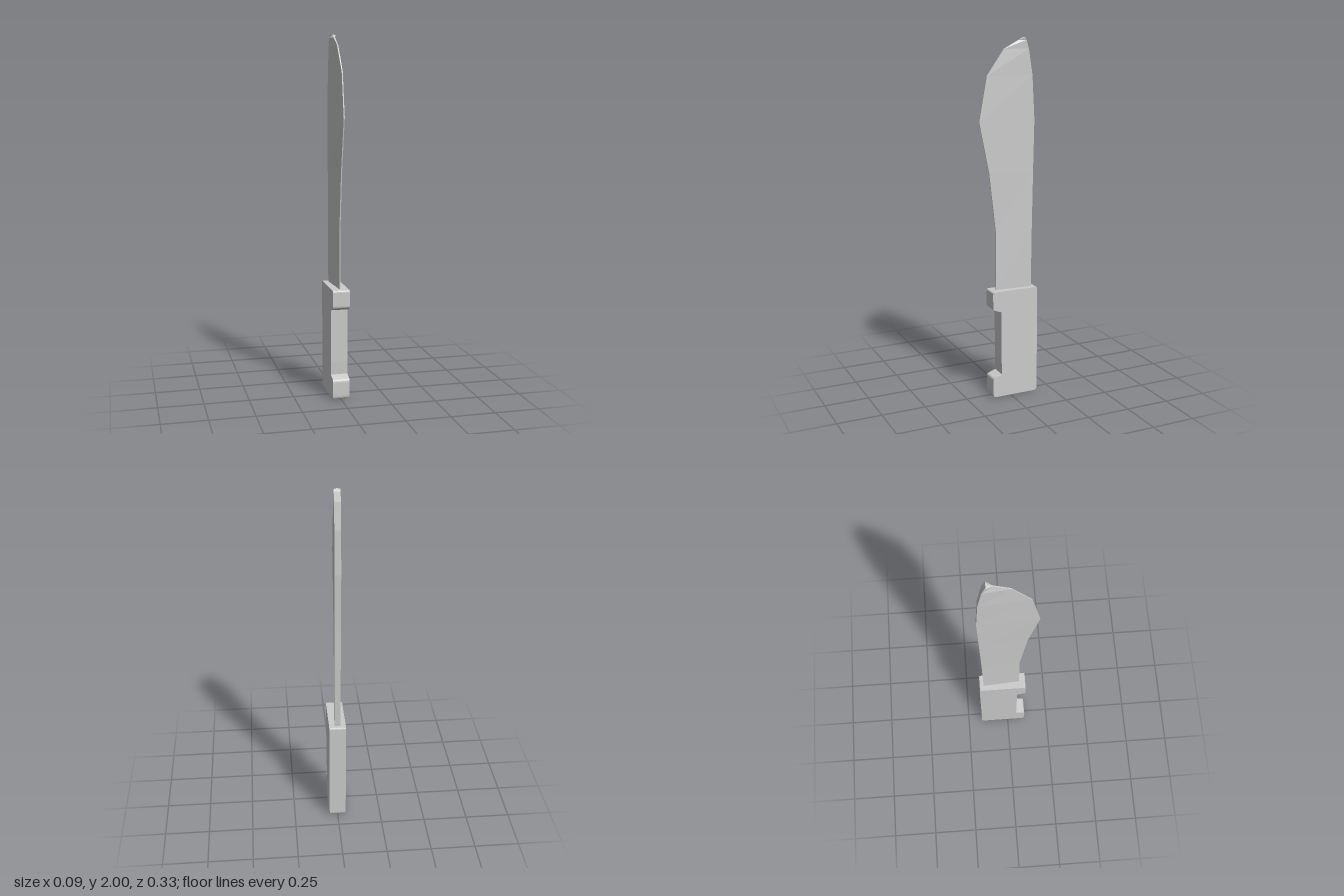
import * as THREE from 'three';

const material = new THREE.MeshStandardMaterial({ color: 0xcccccc, flatShading: true });

// Blade: a stack of wedge sections, thick at the spine and thin at the cutting edge
function bladeGeometry() {
  const spineHalf = 0.017, edgeHalf = 0.003;
  // [height, spine z, edge z]
  const sections = [
    [0.6, -0.139, 0.07], [0.95, -0.143, 0.07], [1.28, -0.149, 0.108], [1.56, -0.155, 0.165],
    [1.8, -0.142, 0.12], [1.94, -0.12, 0.02], [1.985, -0.106, -0.065], [2.0, -0.099, -0.092],
  ];
  const positions = [];
  const index = [];
  sections.forEach(([y, spine, edge], level) => {
    positions.push(-spineHalf, y, spine, -edgeHalf, y, edge, edgeHalf, y, edge, spineHalf, y, spine);
    if (level === 0) return;
    const lower = (level - 1) * 4, upper = level * 4;
    for (let i = 0; i < 4; i++) {
      const j = (i + 1) % 4;
      index.push(lower + i, lower + j, upper + j, lower + i, upper + j, upper + i);
    }
  });
  // End caps
  const top = (sections.length - 1) * 4;
  index.push(0, 2, 1, 0, 3, 2, top, top + 1, top + 2, top, top + 2, top + 3);

  const geometry = new THREE.BufferGeometry();
  geometry.setAttribute('position', new THREE.Float32BufferAttribute(positions, 3));
  geometry.setIndex(index);
  const flat = geometry.toNonIndexed();
  flat.computeVertexNormals();
  return flat;
}

// Handle: side outline (z, y) with finger notch, extruded across the width
function handleGeometry() {
  const width = 0.094;
  const s = new THREE.Shape();
  s.moveTo(-0.15, 0);
  s.lineTo(0.092, 0);
  s.quadraticCurveTo(0.107, 0.003, 0.107, 0.025);
  s.lineTo(0.107, 0.095);
  s.quadraticCurveTo(0.107, 0.111, 0.098, 0.115);
  s.lineTo(0.053, 0.13);
  s.lineTo(0.056, 0.2);
  s.lineTo(0.056, 0.5);
  s.lineTo(0.095, 0.514);
  s.quadraticCurveTo(0.107, 0.52, 0.107, 0.533);
  s.lineTo(0.107, 0.607);
  s.quadraticCurveTo(0.107, 0.62, 0.095, 0.62);
  s.lineTo(-0.157, 0.62);
  s.quadraticCurveTo(-0.165, 0.62, -0.165, 0.61);
  s.lineTo(-0.165, 0.02);
  s.quadraticCurveTo(-0.163, 0.003, -0.15, 0);
  const geometry = new THREE.ExtrudeGeometry(s, { depth: width, bevelEnabled: false, curveSegments: 4 });
  geometry.translate(0, 0, -width / 2);
  geometry.rotateY(-Math.PI / 2);
  return geometry;
}

export function createModel() {
  const model = new THREE.Group();
  model.name = 'machete';
  const parts = { blade: bladeGeometry(), handle: handleGeometry() };
  for (const [name, geometry] of Object.entries(parts)) {
    const mesh = new THREE.Mesh(geometry, material);
    mesh.name = name;
    model.add(mesh);
  }
  return model;
}
